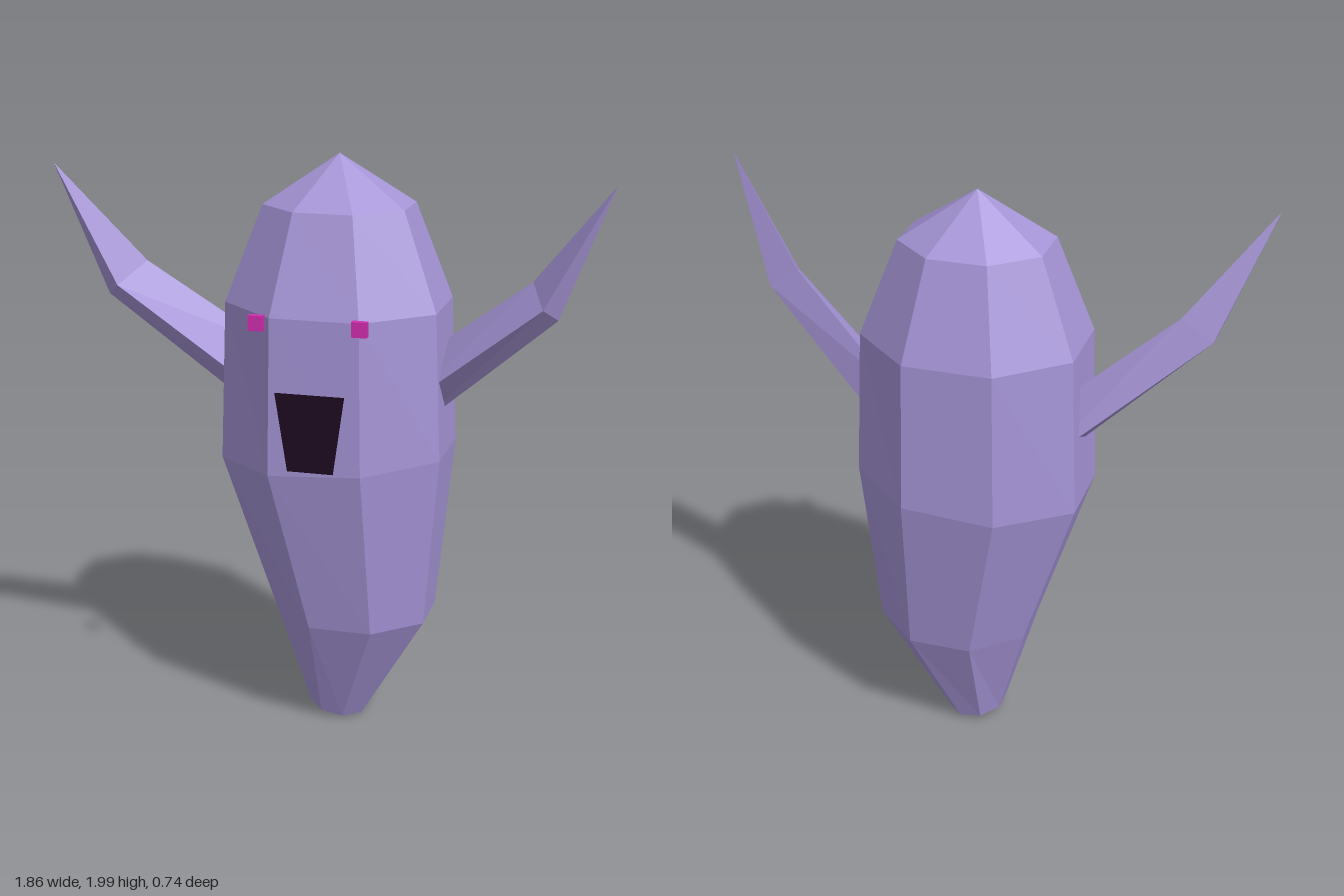
import * as THREE from 'three';

// Faceted skin through a list of equal-length rings, with both ends closed
function loft(rings) {
  const pos = [];
  const tri = (a, b, c) => {
    const area = b.clone().sub(a).cross(c.clone().sub(a)).length();
    if (area > 1e-7) for (const p of [a, b, c]) pos.push(p.x, p.y, p.z);
  };
  const n = rings[0].length;
  for (let i = 0; i < rings.length - 1; i++) {
    for (let j = 0; j < n; j++) {
      const k = (j + 1) % n;
      const a = rings[i][j], b = rings[i][k], c = rings[i + 1][k], d = rings[i + 1][j];
      tri(a, b, d);
      tri(b, c, d);
    }
  }
  const first = rings[0], last = rings[rings.length - 1];
  for (let j = 1; j < n - 1; j++) {
    tri(first[0], first[j + 1], first[j]);
    tri(last[0], last[j], last[j + 1]);
  }
  const geo = new THREE.BufferGeometry();
  geo.setAttribute('position', new THREE.Float32BufferAttribute(pos, 3));
  geo.computeVertexNormals();
  return geo;
}

const V = (x, y, z) => new THREE.Vector3(x, y, z);

// Octagonal body ring; half widths are measured to the flats, slope tilts it sideways
function octagon(cx, y, halfX, halfZ, slope = 0) {
  const s = 1 / Math.cos(Math.PI / 8);
  return Array.from({ length: 8 }, (_, j) => {
    const a = (j + 0.5) * Math.PI / 4;
    const dx = Math.cos(a) * halfX * s;
    return V(cx + dx, y + slope * dx, -0.034 + Math.sin(a) * halfZ * s);
  });
}

export function createModel() {
  const group = new THREE.Group();
  const material = (name, color) => {
    const m = new THREE.MeshStandardMaterial({ color });
    m.name = name;
    return m;
  };
  const skin = material('lavender skin', 0xa594d6);
  const eyeColor = material('magenta eyes', 0xd42db0);
  const mouthColor = material('dark mouth', 0x1f0b22);
  skin.flatShading = true;
  mouthColor.side = THREE.DoubleSide;

  const add = (name, geo, mat) => {
    const mesh = new THREE.Mesh(geo, mat);
    mesh.name = name;
    group.add(mesh);
    return mesh;
  };

  // Body, from the pointed crown down to the bent, narrow foot
  add('body', loft([
    octagon(0, 2, 0, 0),
    octagon(0, 1.835, 0.24, 0.215),
    octagon(0, 1.51, 0.36, 0.323),
    octagon(0, 0.988, 0.38, 0.333, 0.06),
    octagon(0.063, 0.405, 0.262, 0.238),
    octagon(-0.002, 0.02, 0.093, 0.098, -0.16),
  ]), skin);

  // Arms: four-sided, bent at the elbow and ending in a point
  const shoulder = [V(0.36, 1.385, -0.09), V(0.37, 1.28, 0.085), V(0.375, 1.175, 0), V(0.37, 1.215, -0.11)];
  const elbow = [V(0.66, 1.62, 0.03), V(0.715, 1.56, 0.17), V(0.76, 1.522, 0.13), V(0.765, 1.545, 0.035)];
  const root = shoulder.map((p, i) => p.clone().lerp(elbow[i], -0.35));
  const tip = shoulder.map(() => V(0.928, 1.96, 0.16));
  for (const side of [1, -1]) {
    const rings = [root, elbow, tip].map((ring) => {
      const r = ring.map((p) => V(p.x * side, p.y, p.z));
      return side > 0 ? r : r.reverse();
    });
    add(side > 0 ? 'leftArm' : 'rightArm', loft(rings), skin);
  }

  // Eyes floating just in front of the face
  for (const side of [1, -1]) {
    const eye = add(side > 0 ? 'leftEye' : 'rightEye', new THREE.BoxGeometry(0.05, 0.05, 0.022), eyeColor);
    eye.position.set(side * 0.17, 1.51, 0.357);
  }

  // Mouth: a flat tapered plate
  const shape = new THREE.Shape([
    new THREE.Vector2(-0.118, 0.133), new THREE.Vector2(-0.08, -0.133),
    new THREE.Vector2(0.075, -0.133), new THREE.Vector2(0.115, 0.133),
  ]);
  const mouth = add('mouth', new THREE.ShapeGeometry(shape), mouthColor);
  mouth.position.set(0, 1.145, 0.335);
  mouth.rotation.x = 0.03;

  return group;
}
